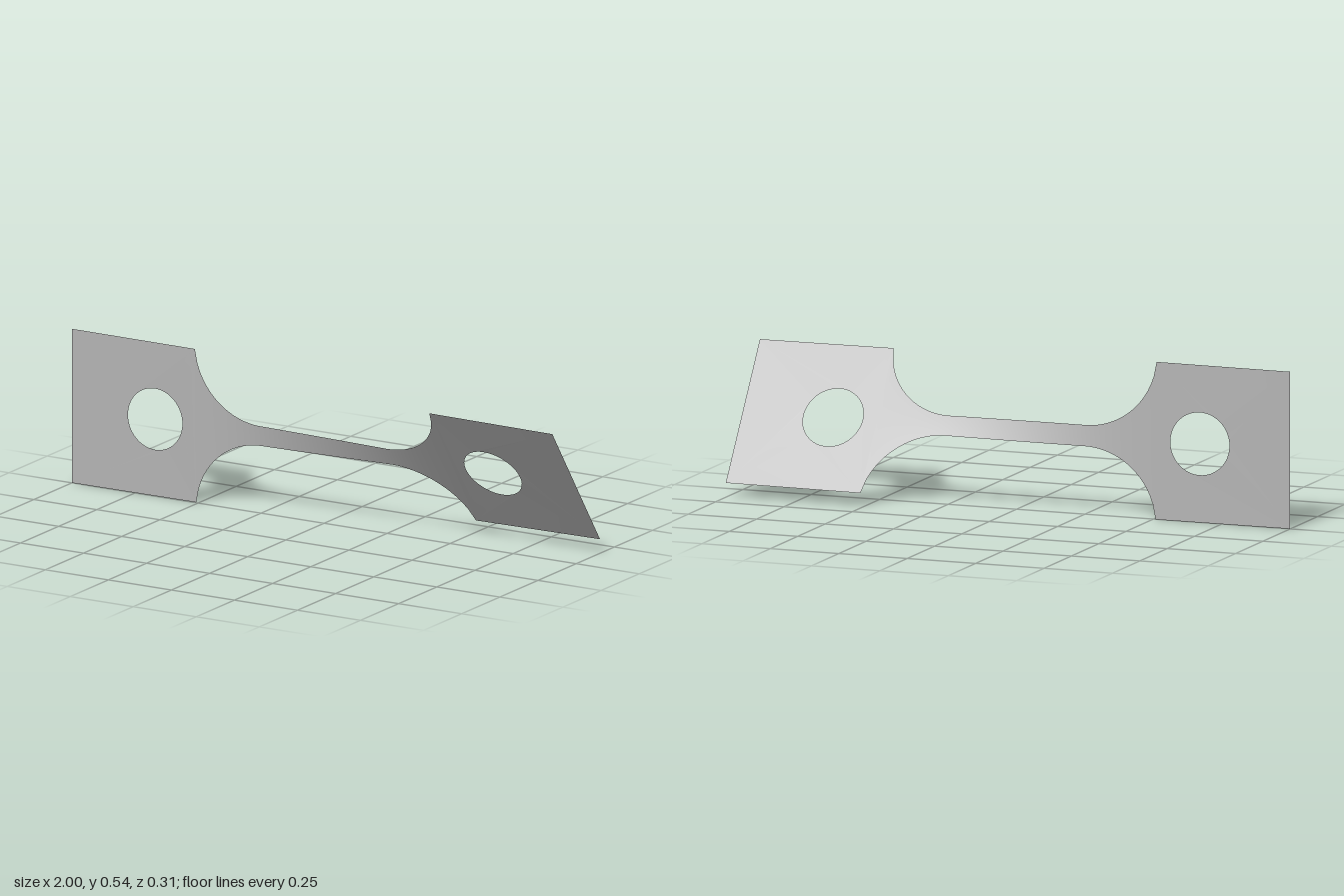
import * as THREE from 'three';

const HALF = 0.271;      // half height of the end plates
const NECK = 0.036;      // half height of the neck
const X_NECK = 0.25;     // where the fillets begin
const X_PLATE = 0.51;    // where the plates begin
const STEPS = 96;
const rad = THREE.MathUtils.degToRad;

// Half height of the strip between the plates: straight neck with circular fillets
function halfHeight(x) {
  const d = Math.max(0, Math.abs(x) - X_NECK);
  const w = X_PLATE - X_NECK, h = HALF - NECK;
  const r = (w * w + h * h) / (2 * h);
  return NECK + r - Math.sqrt(r * r - d * d);
}

// Twisting rate is inversely proportional to the local height
const neckX = [], neckTwist = [0];
for (let i = 0; i <= STEPS; i++) {
  neckX.push(X_PLATE * (2 * i / STEPS - 1));
  if (i > 0) neckTwist.push(neckTwist[i - 1] + 1 / halfHeight((neckX[i] + neckX[i - 1]) / 2));
}
const total = neckTwist[STEPS];
const END = 35.2, PLATE = 1.0;   // whole twist and the share of each plate, in degrees

function plateAngle(x) {
  const t = PLATE * (1 - Math.abs(x)) / (1 - X_PLATE);
  return rad(x < 0 ? t : END - t);
}

function place(x, v, angle) {
  return [x, HALF + v * Math.cos(angle), v * Math.sin(angle)];
}

// Ruled strip of vertical cross-sections
function neckGeometry() {
  const pos = [], index = [], rows = 4;
  for (let i = 0; i <= STEPS; i++) {
    const angle = rad(PLATE + (END - 2 * PLATE) * neckTwist[i] / total);
    for (let j = 0; j <= rows; j++) {
      pos.push(...place(neckX[i], halfHeight(neckX[i]) * (2 * j / rows - 1), angle));
      if (i < STEPS && j < rows) {
        const a = i * (rows + 1) + j, b = a + rows + 1;
        index.push(a, b, b + 1, a, b + 1, a + 1);
      }
    }
  }
  const g = new THREE.BufferGeometry();
  g.setAttribute('position', new THREE.Float32BufferAttribute(pos, 3));
  g.setIndex(index);
  g.computeVertexNormals();
  return g;
}

// Rectangular plate with a round hole, bent to follow the twist
function plateGeometry(side) {
  const a = Math.min(side, side * X_PLATE), b = Math.max(side, side * X_PLATE);
  const shape = new THREE.Shape([
    new THREE.Vector2(a, -HALF), new THREE.Vector2(b, -HALF),
    new THREE.Vector2(b, HALF), new THREE.Vector2(a, HALF),
  ]);
  shape.holes.push(new THREE.Path().absarc(side * 0.67, 0, 0.108, 0, Math.PI * 2, true));
  const g = new THREE.ShapeGeometry(shape, 32);
  const p = g.attributes.position;
  for (let i = 0; i < p.count; i++) {
    p.setXYZ(i, ...place(p.getX(i), p.getY(i), plateAngle(p.getX(i))));
  }
  g.computeVertexNormals();
  return g;
}

export function createModel() {
  const group = new THREE.Group();
  group.name = 'twistedTestStrip';
  const metal = new THREE.MeshStandardMaterial({ color: 0xb4b4b4, side: THREE.DoubleSide });
  metal.name = 'grey metal';

  const add = (name, geometry) => {
    const mesh = new THREE.Mesh(geometry, metal);
    mesh.name = name;
    group.add(mesh);
  };
  add('neck', neckGeometry());
  add('rightPlate', plateGeometry(-1));
  add('leftPlate', plateGeometry(1));
  return group;
}
